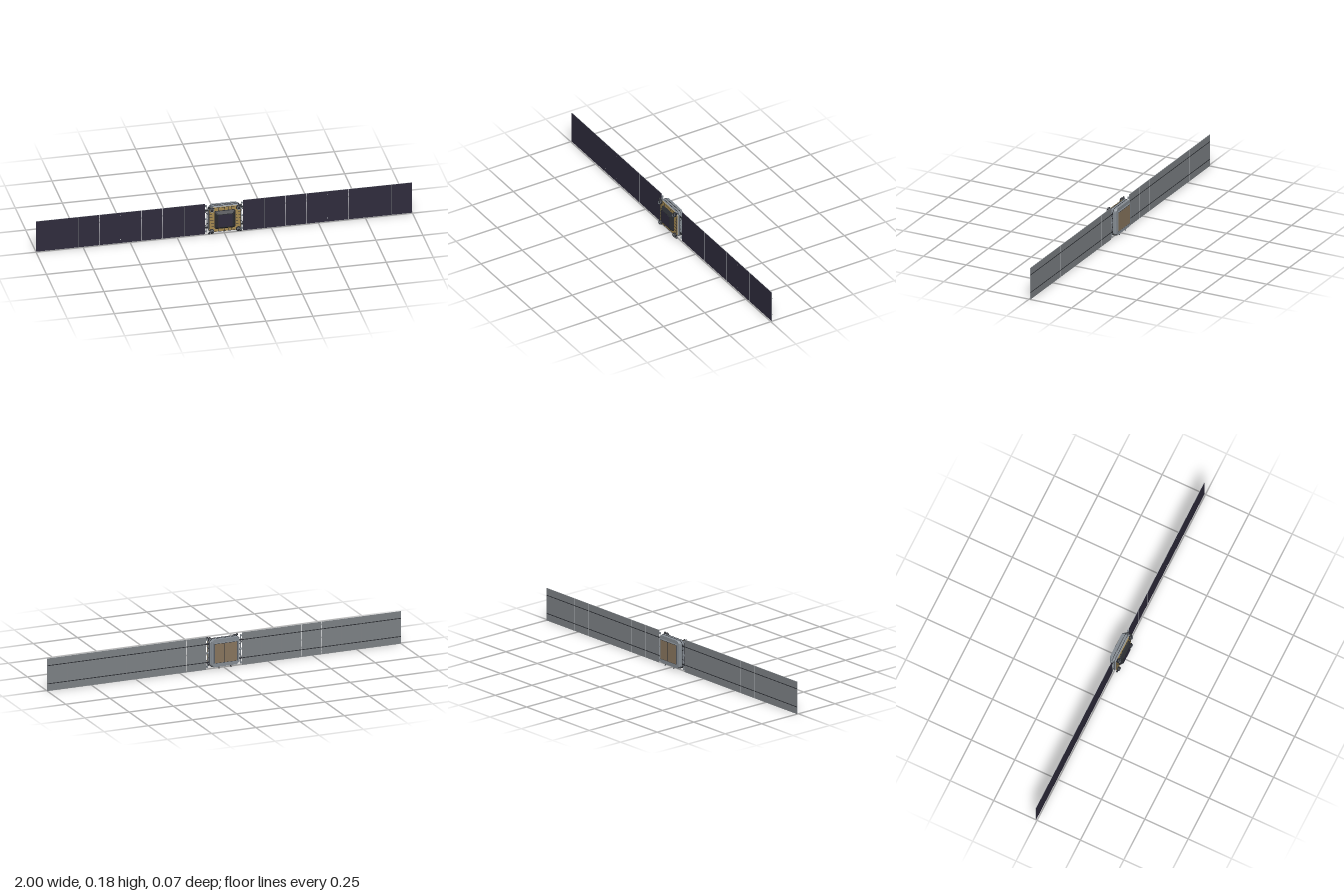
import * as THREE from 'three';

const mat = (name, color, side = THREE.FrontSide) => {
  const m = new THREE.MeshStandardMaterial({ color, side });
  m.name = name;
  return m;
};

export function createModel() {
  const model = new THREE.Group();
  model.name = 'satellite';
  const CY = 0.0885, WZ = -0.007;
  const cell = mat('solarCellNavy', 0x2f2c3d);
  const grey = mat('panelGrey', 0x7d8286);
  const hull = mat('hullGrey', 0x868d94);
  const pale = mat('paleMetal', 0xa9adb0);
  const dark = mat('darkGrey', 0x2b2d32);
  const gold = mat('goldFoil', 0xa58a50);
  const tan = mat('tanRadiator', 0x89765e);

  const add = (name, geo, m, x = 0, y = 0, z = 0, parent = model) => {
    const o = new THREE.Mesh(geo, m);
    o.name = name;
    o.position.set(x, y, z);
    parent.add(o);
    return o;
  };
  const box = (name, m, w, h, d, x, y, z, parent) =>
    add(name, new THREE.BoxGeometry(w, h, d), m, x, y, z, parent);
  const rod = (name, m, a, b, r, parent = model) => {
    const p = new THREE.Vector3(...a), q = new THREE.Vector3(...b);
    const o = add(name, new THREE.CylinderGeometry(r, r, p.distanceTo(q), 8), m, 0, 0, 0, parent);
    o.position.copy(p).add(q).multiplyScalar(0.5);
    o.quaternion.setFromUnitVectors(new THREE.Vector3(0, 1, 0), q.sub(p).normalize());
    return o;
  };

  // Faceted solid through chamfered rectangles [z, halfWidth, halfHeight, chamfer], back to front
  const loft = (levels) => {
    const rings = levels.map(([z, w, h, c]) => [
      [w, -h + c], [w, h - c], [w - c, h], [-w + c, h],
      [-w, h - c], [-w, -h + c], [-w + c, -h], [w - c, -h],
    ].map(([x, y]) => [x, y, z]));
    const pos = [];
    const tri = (...p) => p.forEach((v) => pos.push(...v));
    for (let k = 0; k < rings.length - 1; k++) {
      for (let i = 0; i < 8; i++) {
        const j = (i + 1) % 8, a = rings[k], b = rings[k + 1];
        tri(a[i], a[j], b[j]);
        tri(a[i], b[j], b[i]);
      }
    }
    const back = rings[0], front = rings[rings.length - 1];
    for (let i = 1; i < 7; i++) {
      tri(front[0], front[i], front[i + 1]);
      tri(back[0], back[i + 1], back[i]);
    }
    const g = new THREE.BufferGeometry();
    g.setAttribute('position', new THREE.Float32BufferAttribute(pos, 3));
    g.computeVertexNormals();
    return g;
  };

  // Body shell with a raised belt and dark grooves
  add('body', loft([
    [-0.026, 0.074, 0.068, 0.012], [-0.018, 0.084, 0.075, 0.014],
    [0.004, 0.086, 0.075, 0.014], [0.011, 0.082, 0.07, 0.014],
  ]), hull, 0, CY, 0);
  add('rearRim', loft([[-0.027, 0.076, 0.075, 0.012], [-0.014, 0.082, 0.076, 0.012]]), hull, 0, CY, 0);
  for (const z of [-0.011, 0.002])
    add('bodyGroove', loft([[z - 0.001, 0.0868, 0.0765, 0.014], [z + 0.001, 0.0868, 0.0765, 0.014]]), dark, 0, CY, 0);

  // Gold front deck with dark tile joints
  add('frontDeck', loft([[0.01, 0.084, 0.071, 0.012], [0.014, 0.083, 0.07, 0.012]]), gold, 0, CY, 0);
  for (const s of [-1, 1]) {
    for (let i = -2; i <= 2; i++) {
      box('deckJoint', dark, 0.0015, 0.015, 0.001, i * 0.018, CY + s * 0.062, 0.0142);
      box('deckJoint', dark, 0.024, 0.0015, 0.001, s * 0.07, CY + i * 0.018, 0.0142);
    }
    box('deckBorder', dark, 0.12, 0.0015, 0.001, 0, CY + s * 0.0695, 0.0142);
    box('deckBorder', dark, 0.0015, 0.1, 0.001, s * 0.0825, CY, 0.0142);
  }

  // Stepped antenna array at the front centre
  add('antennaBase', loft([[0.014, 0.056, 0.052, 0.006], [0.02, 0.055, 0.051, 0.006],
    [0.033, 0.041, 0.039, 0.004]]), dark, 0, CY, 0);
  add('antennaFace', loft([[0.0325, 0.037, 0.035, 0.003], [0.0335, 0.037, 0.035, 0.003]]), cell, 0, CY, 0);

  // Thruster pods at the four front corners
  for (const sx of [-1, 1]) for (const sy of [-1, 1]) {
    const pod = new THREE.Group();
    pod.name = 'cornerPod';
    pod.position.set(sx * 0.071, CY + sy * 0.063, 0.019);
    const dome = add('podShell', new THREE.SphereGeometry(0.013, 12, 8), dark, 0, 0, 0, pod);
    dome.scale.set(1, 1.05, 0.85);
    rod('podNozzle', dark, [0, 0, 0], [sx * 0.016, sy * 0.014, -0.004], 0.005, pod);
    const ring = add('podRing', new THREE.TorusGeometry(0.009, 0.0018, 6, 14), hull, 0, 0, 0.008, pod);
    ring.rotation.x = -sy * 0.3;
    box('podMount', hull, 0.014, 0.014, 0.014, 0, 0, -0.008, pod);
    model.add(pod);
  }

  // Rear radiator, split into two unequal panels
  box('rearPlate', hull, 0.135, 0.112, 0.006, 0, CY, -0.029);
  box('rearPlateSeam', dark, 0.128, 0.106, 0.001, 0, CY, -0.0322);
  box('radiatorWide', tan, 0.07, 0.103, 0.0015, -0.0275, CY, -0.0325);
  box('radiatorNarrow', tan, 0.052, 0.103, 0.0015, 0.0365, CY, -0.0325);

  // Short antennas below the body
  rod('lowerAntenna', dark, [-0.032, 0.02, -0.012], [-0.032, 0.004, -0.025], 0.0028);
  rod('lowerAntenna', dark, [0.035, 0.02, -0.012], [0.035, 0.004, -0.025], 0.0028);
  rod('lowerMast', dark, [0, 0.02, 0], [0, 0.007, 0], 0.002);

  // Solar wings, eight panels a side
  const pitch = 0.1125, start = 0.1, thick = 0.003;
  const wingMats = [pale, pale, pale, pale, cell, grey];
  for (const s of [-1, 1]) {
    const wing = new THREE.Group();
    wing.name = s > 0 ? 'leftWing' : 'rightWing';
    model.add(wing);
    for (let i = 0; i < 8; i++) {
      const x = s * (start + (i + 0.5) * pitch);
      const gap = i < 3 ? 0.003 : 0.0015;
      box('solarPanel', wingMats, pitch - gap, 0.177, thick, x, CY, WZ, wing);
      for (const y of [0.039, 0.138])
        box('rearStripe', dark, pitch - gap, 0.004, 0.001, x, y, WZ - thick / 2 - 0.0003, wing);
    }
    // Hold-down points
    for (const n of [4, 5]) for (const y of [0.02, 0.16])
      box('holdDown', pale, 0.004, 0.004, 0.0008, s * (start + n * pitch), y, WZ + thick / 2, wing);

    // Hinge post, brackets and diagonal braces at the wing root
    rod('hingePost', hull, [s * 0.094, 0.012, WZ], [s * 0.094, 0.165, WZ], 0.002, wing);
    for (const d of [-1, 1]) {
      box('hingeBracket', dark, 0.018, 0.007, 0.008, s * 0.093, CY + d * 0.05, WZ, wing);
      box('hingeTip', hull, 0.008, 0.01, 0.008, s * 0.095, CY + d * 0.074, WZ, wing);
      rod('brace', dark, [s * 0.084, CY + d * 0.022, WZ], [s * 0.1, CY + d * 0.042, WZ], 0.0015, wing);
    }
    const drive = rod('wingDrive', hull, [s * 0.082, CY, WZ], [s * 0.101, CY, WZ], 0.005, wing);
    drive.name = 'wingDrive';
  }
  return model;
}
